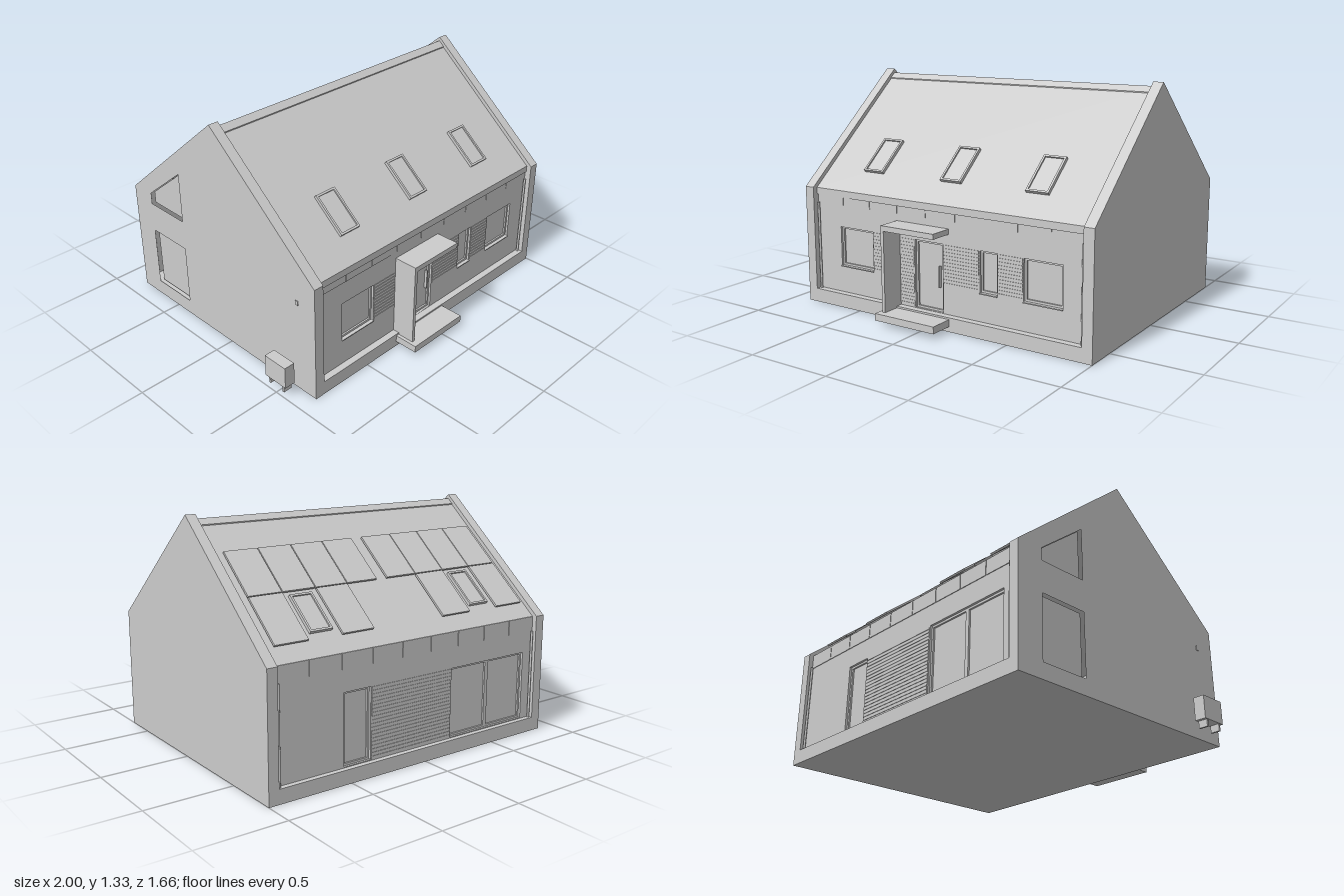
import * as THREE from 'three';

export function createModel() {
  const house = new THREE.Group();
  house.name = 'house';
  const grey = new THREE.MeshStandardMaterial({ color: 0xcccccc });
  grey.name = 'plain grey';

  const add = (name, geo, parent = house) => {
    const m = new THREE.Mesh(geo, grey);
    m.name = name;
    parent.add(m);
    return m;
  };
  // Box given by its limits on each axis
  const box = (name, x0, x1, y0, y1, z0, z1, parent) => {
    const m = add(name, new THREE.BoxGeometry(x1 - x0, y1 - y0, z1 - z0), parent);
    m.position.set((x0 + x1) / 2, (y0 + y1) / 2, (z0 + z1) / 2);
    return m;
  };
  const poly = (C, pts) => new C(pts.map(p => new THREE.Vector2(...p)));
  const rect = (x0, x1, y0, y1) => [[x0, y0], [x1, y0], [x1, y1], [x0, y1]];
  const extrude = (pts, holes, depth) => {
    const shape = poly(THREE.Shape, pts);
    shape.holes = holes.map(h => poly(THREE.Path, h));
    return new THREE.ExtrudeGeometry(shape, { depth, bevelEnabled: false });
  };
  // Profile in (z, y) swept from x0 to x1
  const sweepX = (name, pts, holes, x0, x1) => {
    const flip = list => list.map(([z, y]) => [-z, y]);
    const geo = extrude(flip(pts), holes.map(flip), x1 - x0);
    geo.rotateY(Math.PI / 2).translate(x0, 0, 0);
    return add(name, geo);
  };

  const L = -0.83, R = 0.94, RIDGE = -0.07, SLOPE = 0.842;
  const ANGLE = Math.atan(SLOPE);
  const FRONT = 0.65, BACK = -0.80, T = 0.035;

  // Base and gables
  box('plinth', -0.89, 1, 0, 0.08, -0.83, 0.69);
  const gable = [[0.69, 0], [0.69, 0.69], [RIDGE, 1.33], [-0.83, 0.69], [-0.83, 0]];
  sweepX('leftGable', gable, [], R, 1);
  const lowWindow = [[-0.67, 0.09], [-0.38, 0.09], [-0.38, 0.45], [-0.67, 0.45]];
  const highWindow = [[-0.67, 0.63], [-0.38, 0.63], [-0.38, 0.93], [-0.67, 0.70]];
  sweepX('rightGable', gable, [lowWindow, highWindow], -0.89, L);
  sweepX('lowGableGlass', lowWindow, [], -0.865, -0.85);
  sweepX('highGableGlass', highWindow, [], -0.865, -0.85);

  // Front and back walls with their openings
  const frontOpenings = [[-0.66, -0.42, 0.24, 0.47], [0.31, 0.42, 0.24, 0.47],
    [0.58, 0.81, 0.24, 0.47], [-0.12, 0.07, 0.082, 0.47]];
  const backOpenings = [[0.36, 0.53, 0.085, 0.48], [-0.76, -0.2, 0.085, 0.48]];
  const wall = (name, openings, z) => {
    const geo = extrude(rect(L, R, 0.08, 0.685), openings.map(o => rect(...o)), T);
    add(name, geo).position.z = z;
  };
  wall('frontWall', frontOpenings, FRONT - T);
  wall('backWall', backOpenings, BACK);

  // A framed pane set back inside an opening
  const framedPane = (name, [x0, x1, y0, y1], zPane, zFrame) => {
    const f = 0.012;
    box(name + 'Pane', x0, x1, y0, y1, zPane - 0.005, zPane + 0.005);
    const frame = extrude(rect(x0, x1, y0, y1), [rect(x0 + f, x1 - f, y0 + f, y1 - f)], 0.012);
    add(name + 'Frame', frame).position.z = zFrame;
  };
  frontOpenings.forEach((o, i) => {
    framedPane(i === 3 ? 'frontDoor' : 'frontWindow', o, FRONT - 0.028, FRONT - 0.025);
    if (i < 3) box('windowSill', o[0], o[1], o[2] - 0.006, o[2], FRONT - 0.03, FRONT + 0.008);
  });
  framedPane('backDoor', backOpenings[0], BACK + 0.028, BACK + 0.013);
  framedPane('patioDoorLeft', [-0.48, -0.2, 0.085, 0.48], BACK + 0.028, BACK + 0.013);
  framedPane('patioDoorRight', [-0.76, -0.48, 0.085, 0.48], BACK + 0.028, BACK + 0.013);
  box('doorHandle', 0.035, 0.043, 0.22, 0.34, FRONT - 0.02, FRONT - 0.004);

  // Horizontal board cladding between the openings
  const cladding = (x0, x1, y0, y1, z, n) => {
    const h = (y1 - y0) / n;
    for (let i = 0; i < n; i++)
      box('claddingBoard', x0, x1, y0 + i * h + 0.002, y0 + (i + 1) * h - 0.002, z - 0.003, z + 0.003);
  };
  cladding(-0.415, -0.25, 0.24, 0.47, FRONT, 12);
  cladding(-0.22, -0.125, 0.085, 0.47, FRONT, 20);
  cladding(0.075, 0.305, 0.24, 0.47, FRONT, 12);
  cladding(0.425, 0.575, 0.24, 0.47, FRONT, 12);
  cladding(-0.195, 0.355, 0.085, 0.48, BACK, 20);

  // Panelled fascia and corner downpipes on both long sides
  for (const z of [FRONT, BACK]) {
    const n = 9, w = (R - L) / n;
    for (let i = 0; i < n; i++)
      box('fasciaPanel', L + i * w + 0.002, L + (i + 1) * w - 0.002, 0.6, 0.685, z - 0.004, z + 0.004);
    for (const x of [L + 0.012, R - 0.012]) {
      const pipe = add('downpipe', new THREE.CylinderGeometry(0.007, 0.007, 0.52, 10));
      pipe.position.set(x, 0.34, z + Math.sign(z) * 0.012);
    }
  }

  // Roof between the gables, with a ridge cap
  const roofY = z => 1.30 - SLOPE * Math.abs(z - RIDGE);
  const roofBand = (name, half, lift, drop) => {
    const z0 = RIDGE - half, z1 = RIDGE + half;
    sweepX(name, [[z1, roofY(z1) + lift], [RIDGE, 1.30 + lift], [z0, roofY(z0) + lift],
      [z0, roofY(z0) - drop], [RIDGE, 1.30 - drop], [z1, roofY(z1) - drop]], [], L, R);
  };
  roofBand('roof', 0.73, 0, 0.04);
  roofBand('ridgeCap', 0.035, 0.006, 0.01);

  // Group lying on the roof slope, spanning z0 to z1 in plan
  const onRoof = (name, x0, x1, z0, z1) => {
    const g = new THREE.Group(), z = (z0 + z1) / 2;
    g.name = name;
    g.position.set((x0 + x1) / 2, roofY(z), z);
    g.rotation.x = z > RIDGE ? ANGLE : -ANGLE;
    house.add(g);
    return [g, (x1 - x0) / 2, (z1 - z0) / 2 / Math.cos(ANGLE)];
  };
  const roofWindow = (x0, x1, z0, z1) => {
    const [g, w, d] = onRoof('roofWindow', x0, x1, z0, z1);
    const f = 0.012, top = 0.018;
    box('roofWindowGlass', -w + f, w - f, -0.01, 0.01, -d + f, d - f, g);
    for (const s of [-1, 1]) {
      box('roofWindowSide', s * (w - f / 2) - f / 2, s * (w - f / 2) + f / 2, -0.01, top, -d, d, g);
      box('roofWindowRail', -w + f, w - f, -0.01, top, s * (d - f / 2) - f / 2, s * (d - f / 2) + f / 2, g);
    }
  };
  for (const x of [-0.56, -0.02, 0.525]) roofWindow(x, x + 0.137, 0.35, 0.54);
  for (const x of [-0.56, 0.525]) roofWindow(x, x + 0.137, -0.69, -0.505);

  // Solar panels on the back slope
  const solar = (x, z0, z1) => {
    const [g, w, d] = onRoof('solarPanel', x, x + 0.198, z0, z1);
    box('solarPanelPlate', -w, w, 0.012, 0.024, -d, d, g);
  };
  for (const start of [-0.79, 0.09])
    for (let i = 0; i < 4; i++) solar(start + i * 0.203, -0.49, -0.26);
  for (const x of [-0.79, -0.384, 0.293, 0.699]) solar(x, -0.725, -0.494);

  // Porch
  box('porchStep', -0.265, 0.135, 0.03, 0.07, 0.68, 0.83);
  box('porchSideWall', -0.245, -0.225, 0.07, 0.53, FRONT - 0.01, 0.79);
  box('porchCanopy', -0.245, 0.11, 0.53, 0.56, FRONT - 0.01, 0.79);

  // Outdoor unit and small vent beside the right gable
  box('outdoorUnit', -1, -0.935, 0.07, 0.2, 0.42, 0.575);
  for (const z of [0.44, 0.545]) box('outdoorUnitFoot', -0.994, -0.941, 0.03, 0.07, z, z + 0.012);
  box('wallVent', -0.894, -0.885, 0.54, 0.565, 0.55, 0.57);

  return house;
}
